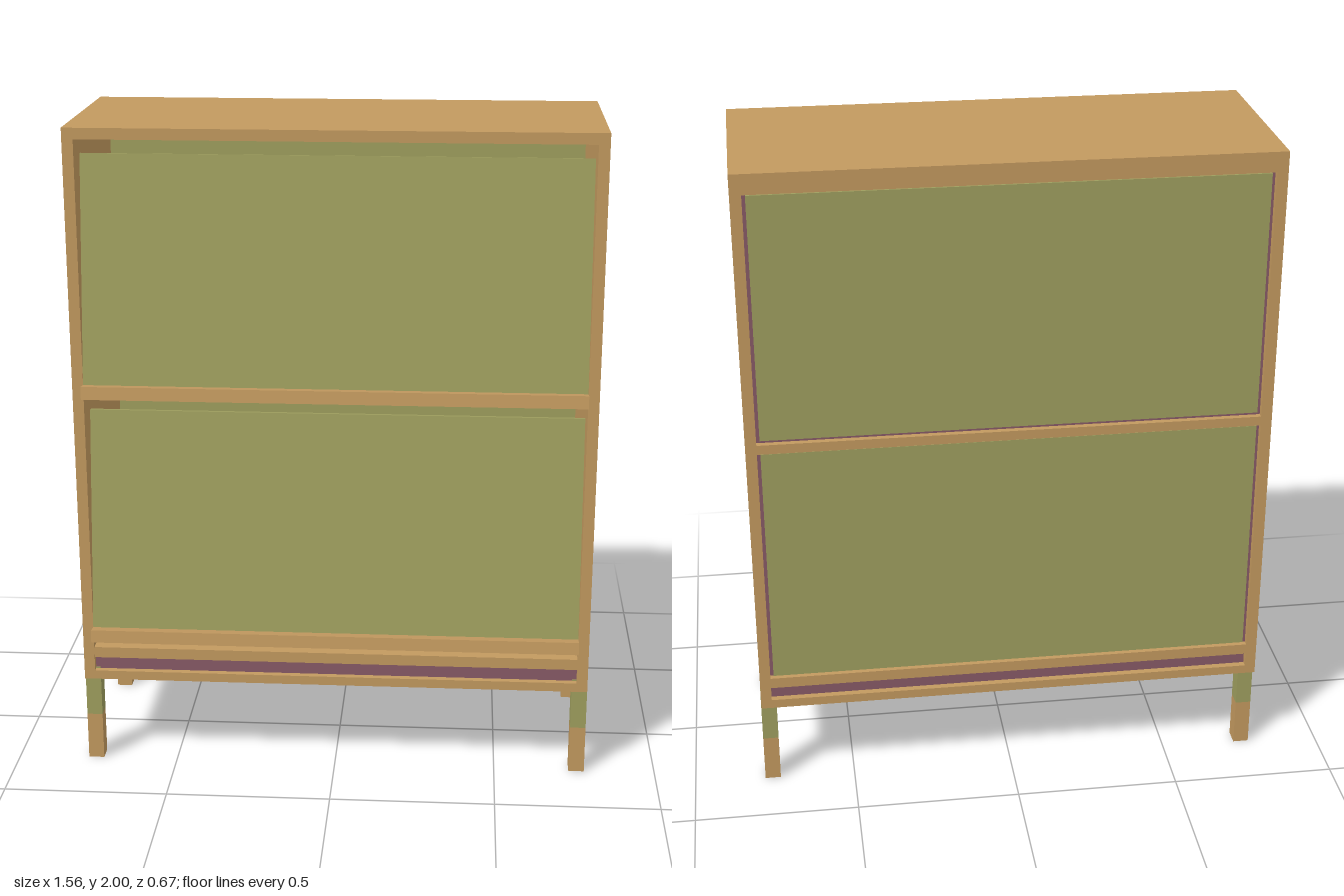
import * as THREE from 'three';

const wood = new THREE.MeshStandardMaterial({ color: 0xc2995f });
wood.name = 'wood';
const olive = new THREE.MeshStandardMaterial({ color: 0x9e9e5e });
olive.name = 'olive';
const mauve = new THREE.MeshStandardMaterial({ color: 0x875a66 });
mauve.name = 'mauve';
const plum = new THREE.MeshStandardMaterial({ color: 0x640e55 });
plum.name = 'plum';

// Box given by its lower and upper limits on each axis
function box(parent, name, material, [x0, x1], [y0, y1], [z0, z1]) {
  const mesh = new THREE.Mesh(new THREE.BoxGeometry(x1 - x0, y1 - y0, z1 - z0), material);
  mesh.position.set((x0 + x1) / 2, (y0 + y1) / 2, (z0 + z1) / 2);
  mesh.name = name;
  parent.add(mesh);
  return mesh;
}

// Limits along x for a part on the left (s = 1) or right (s = -1)
const sideways = (s, a, b) => (s > 0 ? [a, b] : [-b, -a]);

export function createModel() {
  const model = new THREE.Group();
  model.name = 'displayCabinet';

  const back = -0.337, front = 0.288, outer = 0.78, inner = 0.747;
  const span = [-inner, inner];

  // Carcass
  for (const s of [-1, 1]) {
    box(model, s > 0 ? 'leftSide' : 'rightSide', wood, sideways(s, inner, outer), [0.28, 2], [back, front]);
  }
  box(model, 'top', wood, span, [1.967, 2], [back, front]);
  box(model, 'bottomShelf', wood, span, [0.352, 0.386], [back, front - 0.003]);
  box(model, 'rearDivider', wood, span, [1.153, 1.182], [back, -0.319]);
  box(model, 'rearTopRail', wood, span, [1.94, 1.967], [back, -0.319]);

  // Recessed hollow plinth below a dark underside
  box(model, 'shelfUnderside', plum, span, [0.346, 0.352], [back + 0.02, front - 0.02]);
  box(model, 'plinthFront', mauve, span, [0.305, 0.352], [front - 0.038, front - 0.02]);
  box(model, 'plinthBack', mauve, span, [0.305, 0.352], [back + 0.02, back + 0.038]);
  for (const s of [-1, 1]) {
    box(model, 'plinthSide', mauve, sideways(s, 0.73, inner), [0.305, 0.352], [back + 0.038, front - 0.038]);
    box(model, 'sideRail', wood, sideways(s, 0.728, inner), [0.28, 0.305], [back + 0.035, front - 0.035]);
  }

  // Base frame
  box(model, 'frontRail', wood, span, [0.28, 0.308], [front - 0.038, front]);
  box(model, 'backRail', wood, span, [0.28, 0.308], [back, back + 0.038]);

  // Back sheet with olive panels on both faces
  box(model, 'backSheet', mauve, span, [0.386, 1.967], [-0.319, -0.311]);
  for (const [y0, y1] of [[0.386, 1.155], [1.19, 1.94]]) {
    box(model, 'innerBackPanel', olive, span, [y0, y1], [-0.311, -0.302]);
  }
  box(model, 'innerDivider', olive, span, [1.155, 1.19], [-0.311, -0.29]);
  for (const [y0, y1] of [[0.39, 1.148], [1.192, 1.935]]) {
    box(model, 'rearPanel', olive, [-0.737, 0.737], [y0, y1], [-0.328, -0.319]);
  }

  // Leaning display panels with a ledge; the group origin is the panel's lower front edge
  for (const y of [0.425, 1.205]) {
    const display = new THREE.Group();
    display.name = 'leaningDisplay';
    display.position.set(0, y, 0.299);
    display.rotation.x = -0.135;
    box(display, 'displayPanel', olive, [-0.746, 0.746], [0, 0.715], [-0.018, 0]);
    box(display, 'ledge', wood, [-0.746, 0.746], [-0.002, 0.033], [0, 0.037]);
    box(display, 'ledgeFoot', wood, [-0.746, 0.746], [-0.006, 0], [-0.018, 0.035]);
    model.add(display);
  }

  // Two-tone legs, almost flush with the sides
  for (const s of [-1, 1]) {
    for (const [z0, z1] of [[0.22, 0.271], [-0.31, -0.259]]) {
      const xs = sideways(s, 0.733, 0.781);
      const leg = new THREE.Group();
      leg.name = 'leg';
      box(leg, 'legUpper', olive, xs, [0.15, 0.312], [z0, z1]);
      box(leg, 'legLower', wood, xs, [0, 0.15], [z0, z1]);
      model.add(leg);
    }
  }
  return model;
}
